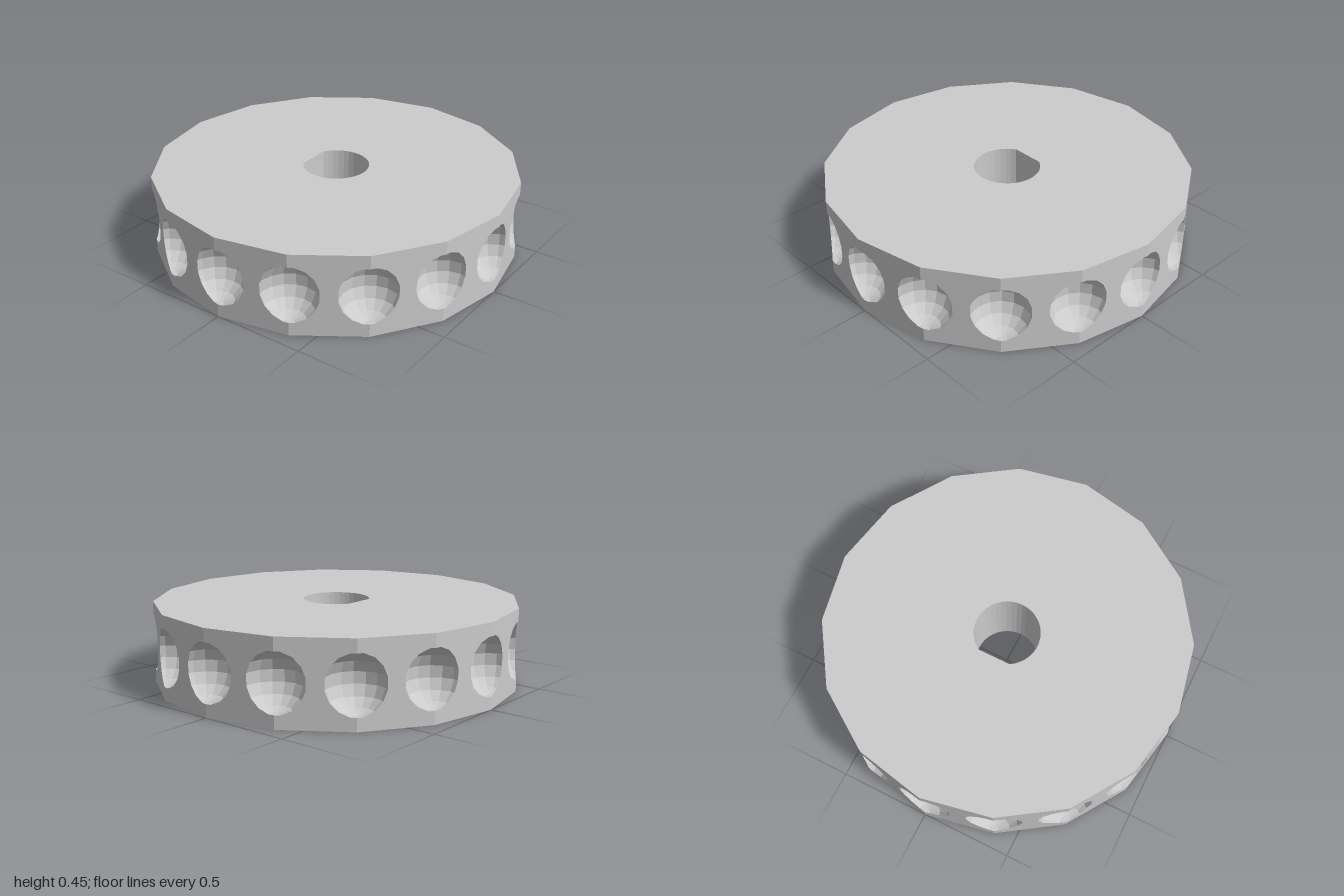
import * as THREE from 'three';
import { mergeVertices } from 'three/addons/utils/BufferGeometryUtils.js';

const SIDES = 16, STEP = (2 * Math.PI) / SIDES, HALF = STEP / 2;
const HEIGHT = 0.45, MID = HEIGHT / 2;
const DIMPLE = 0.157, RINGS = 8;
const BORE = 0.18, FLAT = 0.155;

const material = new THREE.MeshStandardMaterial({ color: 0xcccccc, flatShading: true });

function addMesh(parent, geometry, name) {
  const mesh = new THREE.Mesh(geometry, material);
  mesh.name = name;
  parent.add(mesh);
  return mesh;
}

// Surface through rows of points, rows running downwards, faces towards the axis
function skin(rows) {
  const cols = rows[0].length, index = [];
  for (let i = 0; i < rows.length - 1; i++) {
    for (let j = 0; j < cols - 1; j++) {
      const a = i * cols + j, c = a + 1, b = a + cols, d = b + 1;
      index.push(a, c, b, c, d, b);
    }
  }
  const geometry = new THREE.BufferGeometry().setFromPoints(rows.flat());
  geometry.setIndex(index);
  const merged = mergeVertices(geometry);
  merged.computeVertexNormals();
  return merged;
}

// Stacked rings of the faceted ball that cuts each dimple: [radius, height]
const rings = Array.from({ length: RINGS }, (_, k) => {
  const a = ((k + 0.5) * Math.PI) / RINGS;
  return [DIMPLE * Math.sin(a), MID + DIMPLE * Math.cos(a)];
});

// Hollow half ball centred on a corner of the wheel, trimmed by the two rim facets
function dimpleGeometry() {
  const start = Math.PI / 2 + HALF, end = 2 * Math.PI - start;
  const angles = [start];
  for (let k = 5; k <= 11; k++) angles.push(k * STEP);
  angles.push(end);
  const profile = [[0, rings[0][1]], ...rings, [0, rings[RINGS - 1][1]]];
  return skin(profile.map(([radius, y]) => angles.map((a, j) => {
    const r = j === 0 || j === angles.length - 1 ? radius * Math.cos(HALF) : radius;
    return new THREE.Vector3(1 + r * Math.cos(a), y, -r * Math.sin(a));
  })));
}

// Flat rim facet with half a dimple opening cut from each end
function facetGeometry() {
  const w = Math.sin(HALF);
  const cut = [[0, rings[0][1]], ...rings.map(([r, y]) => [r * Math.cos(HALF), y]), [0, rings[RINGS - 1][1]]];
  const right = cut.slice().reverse().map(([r, y]) => new THREE.Vector2(w - r, y));
  const left = cut.map(([r, y]) => new THREE.Vector2(r - w, y));
  const shape = new THREE.Shape([
    new THREE.Vector2(-w, 0), new THREE.Vector2(w, 0), ...right,
    new THREE.Vector2(w, HEIGHT), new THREE.Vector2(-w, HEIGHT), ...left,
  ]);
  return new THREE.ShapeGeometry(shape).translate(0, 0, Math.cos(HALF));
}

// D-shaped bore outline: an arc closed by a flat
function boreOutline() {
  const t = Math.asin(FLAT / BORE), n = 32;
  return Array.from({ length: n + 1 }, (_, i) => {
    const a = Math.PI - t + (i / n) * (Math.PI + 2 * t);
    return new THREE.Vector2(BORE * Math.cos(a), BORE * Math.sin(a));
  });
}

export function createModel() {
  const wheel = new THREE.Group();
  wheel.name = 'dimpledWheel';
  const bore = boreOutline();

  // Top and bottom faces
  const outline = Array.from({ length: SIDES }, (_, i) =>
    new THREE.Vector2(Math.cos(i * STEP), Math.sin(i * STEP)));
  const disc = new THREE.Shape(outline);
  disc.holes.push(new THREE.Path(bore));
  const face = new THREE.ShapeGeometry(disc).rotateX(-Math.PI / 2);
  addMesh(wheel, face, 'topFace').position.y = HEIGHT;
  addMesh(wheel, face.clone().rotateZ(Math.PI), 'bottomFace');

  // Bore wall
  const loop = [...bore, bore[0]];
  addMesh(wheel, skin([HEIGHT, 0].map((y) =>
    loop.map((p) => new THREE.Vector3(p.x, y, -p.y)))), 'boreWall');

  // Rim facets and the dimples on the corners between them
  const rim = new THREE.Group();
  rim.name = 'rim';
  wheel.add(rim);
  const facet = facetGeometry(), dimple = dimpleGeometry();
  for (let i = 0; i < SIDES; i++) {
    addMesh(rim, facet, 'rimFacet').rotation.y = (i + 0.5) * STEP;
    addMesh(rim, dimple, 'dimple').rotation.y = i * STEP;
  }
  return wheel;
}
